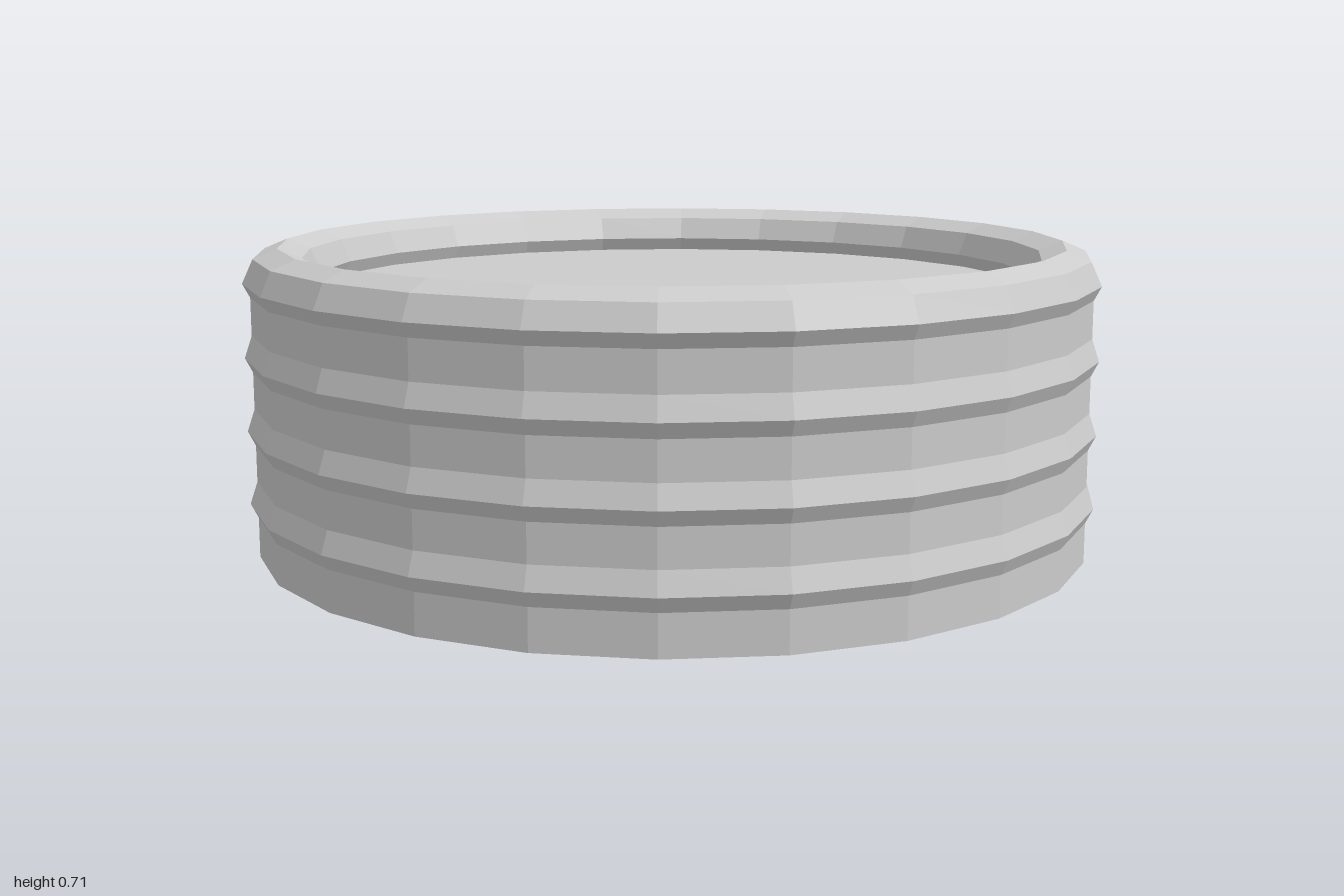
import * as THREE from 'three';

const SIDES = 24;
const WALL = 0.983; // radius between the ridges
const RIDGES = [0.127, 0.297, 0.467];
const TOP_RIDGE = 0.637;
const FLOOR_Y = 0.605;

export function createModel() {
  const group = new THREE.Group();
  const material = new THREE.MeshStandardMaterial({ color: 0xcccccc, flatShading: true });

  // Faceted turned part from [radius, height] points
  const turned = (name, profile) => {
    const points = profile.map(([r, y]) => new THREE.Vector2(r, y));
    const mesh = new THREE.Mesh(new THREE.LatheGeometry(points, SIDES), material);
    mesh.name = name;
    group.add(mesh);
  };

  // Closed base and ribbed side wall
  const wall = [[0, 0], [WALL, 0]];
  for (const y of RIDGES) wall.push([WALL, y - 0.034], [1, y], [WALL, y + 0.051]);
  wall.push([WALL, FLOOR_Y]);
  turned('ribbedWall', wall);

  // Rounded rim, the same shape on its inner and outer side
  turned('rim', [
    [WALL, FLOOR_Y], [1, TOP_RIDGE], [0.975, 0.692], [0.92, 0.715],
    [0.865, 0.692], [0.842, TOP_RIDGE], [0.857, FLOOR_Y],
  ]);

  // Recessed top inside the rim
  turned('recessedTop', [[0.857, FLOOR_Y], [0, FLOOR_Y]]);

  return group;
}
